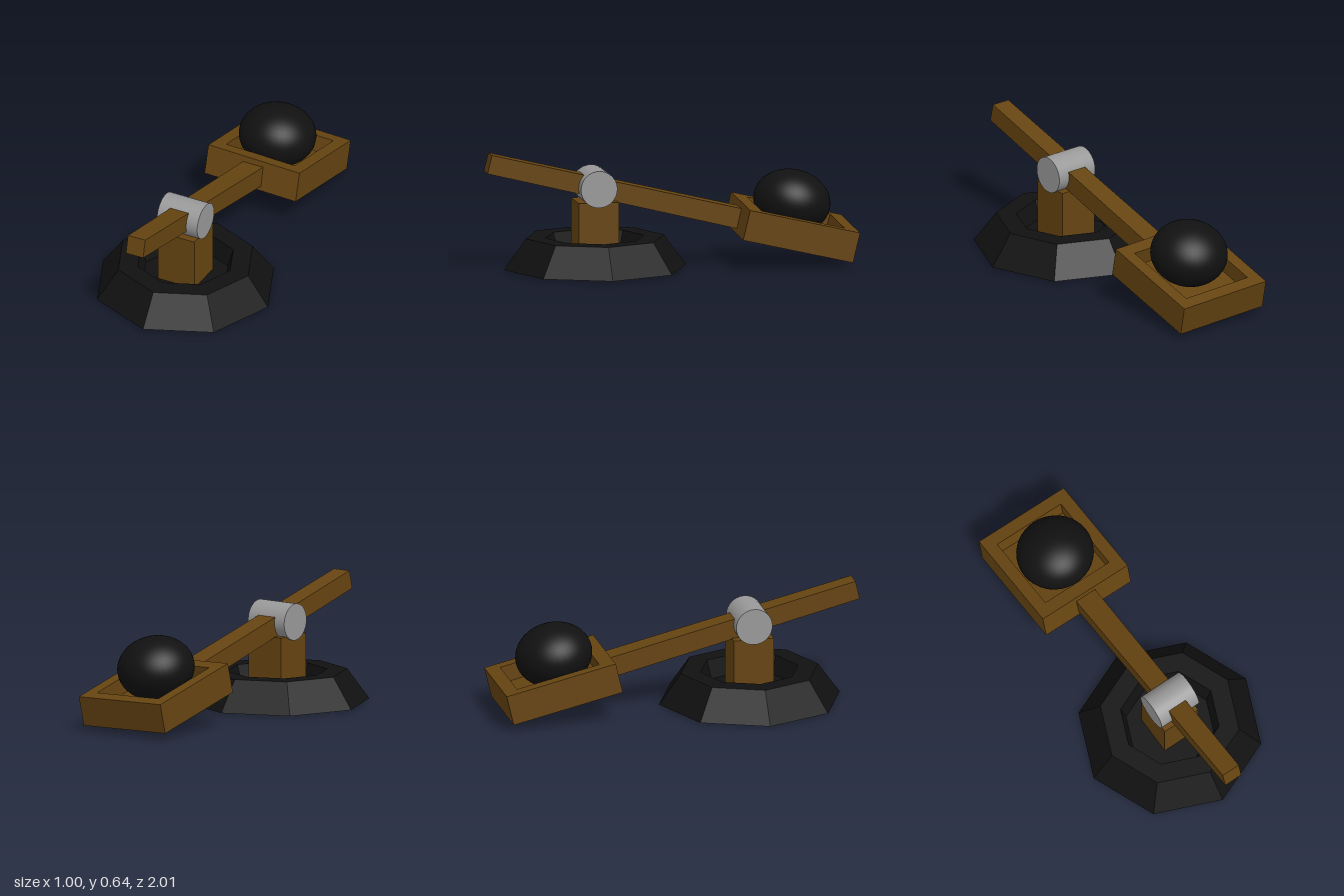
import * as THREE from 'three';

const material = (color, flatShading = false) => {
  const m = new THREE.MeshStandardMaterial({ flatShading });
  m.color.set(color);
  return m;
};

export function createModel() {
  const model = new THREE.Group();
  model.name = 'catapult';
  const wood = material(0x664411, true);
  const darkFlat = material(0x111111, true);
  const dark = material(0x111111);
  const metal = material(0x999999);

  const add = (parent, name, geometry, mat, x = 0, y = 0, z = 0) => {
    const mesh = new THREE.Mesh(geometry, mat);
    mesh.name = name;
    mesh.position.set(x, y, z);
    parent.add(mesh);
    return mesh;
  };

  const pivotZ = 0.4, pivotY = 0.445;

  // Eight-sided base with a recessed top
  const profile = [[0, 0], [0.5, 0.003], [0.38, 0.17], [0.27, 0.17], [0.24, 0.07], [0, 0.07]]
    .map(([r, y]) => new THREE.Vector2(r, y));
  add(model, 'base', new THREE.LatheGeometry(profile, 8), darkFlat, 0, 0, pivotZ);

  // Square post standing in the recess
  add(model, 'post', new THREE.BoxGeometry(0.22, 0.31, 0.22), wood, 0, 0.215, pivotZ);

  // Axle drum lying across the post
  const drum = new THREE.CylinderGeometry(0.1, 0.1, 0.244, 32);
  drum.rotateZ(Math.PI / 2);
  add(model, 'axle', drum, metal, 0, pivotY, pivotZ);

  // Throwing arm, slightly thicker towards the tray
  const front = 0.605, back = 0.84;
  const armGeometry = new THREE.BoxGeometry(0.104, 0.103, front + back);
  armGeometry.translate(0, 0, (front - back) / 2);
  const p = armGeometry.attributes.position;
  for (let i = 0; i < p.count; i++) {
    if (p.getZ(i) < 0) {
      p.setX(i, p.getX(i) * 1.18);
      p.setY(i, p.getY(i) * 1.08);
    }
  }
  armGeometry.computeVertexNormals();
  const arm = add(model, 'arm', armGeometry, wood, 0, pivotY, pivotZ);
  arm.rotation.x = -0.24;

  // Tilted tray: rim frame over a solid floor
  const tray = new THREE.Group();
  tray.name = 'tray';
  tray.position.set(0, 0.187, -0.684);
  tray.rotation.set(-0.23, 0, -0.028);
  model.add(tray);

  const rectangle = (Type, x, y0, y1) => new Type([
    new THREE.Vector2(-x, y0), new THREE.Vector2(x, y0),
    new THREE.Vector2(x, y1), new THREE.Vector2(-x, y1),
  ]);
  const height = 0.167, depth = 0.09;
  const rim = rectangle(THREE.Shape, 0.277, -0.31, 0.31);
  rim.holes.push(rectangle(THREE.Path, 0.208, -0.232, 0.235));
  const rimGeometry = new THREE.ExtrudeGeometry(rim, { depth, bevelEnabled: false });
  rimGeometry.rotateX(-Math.PI / 2);
  add(tray, 'trayRim', rimGeometry, wood, 0, height / 2 - depth, 0);
  add(tray, 'trayFloor', new THREE.BoxGeometry(0.554, height - depth, 0.62), wood, 0, -depth / 2, 0);

  // Slightly flattened ball resting in the tray
  const ball = add(model, 'ball', new THREE.SphereGeometry(0.21, 40, 24), dark, 0, 0.333, -0.683);
  ball.scale.y = 0.81;
  ball.rotation.x = -0.23;

  return model;
}
